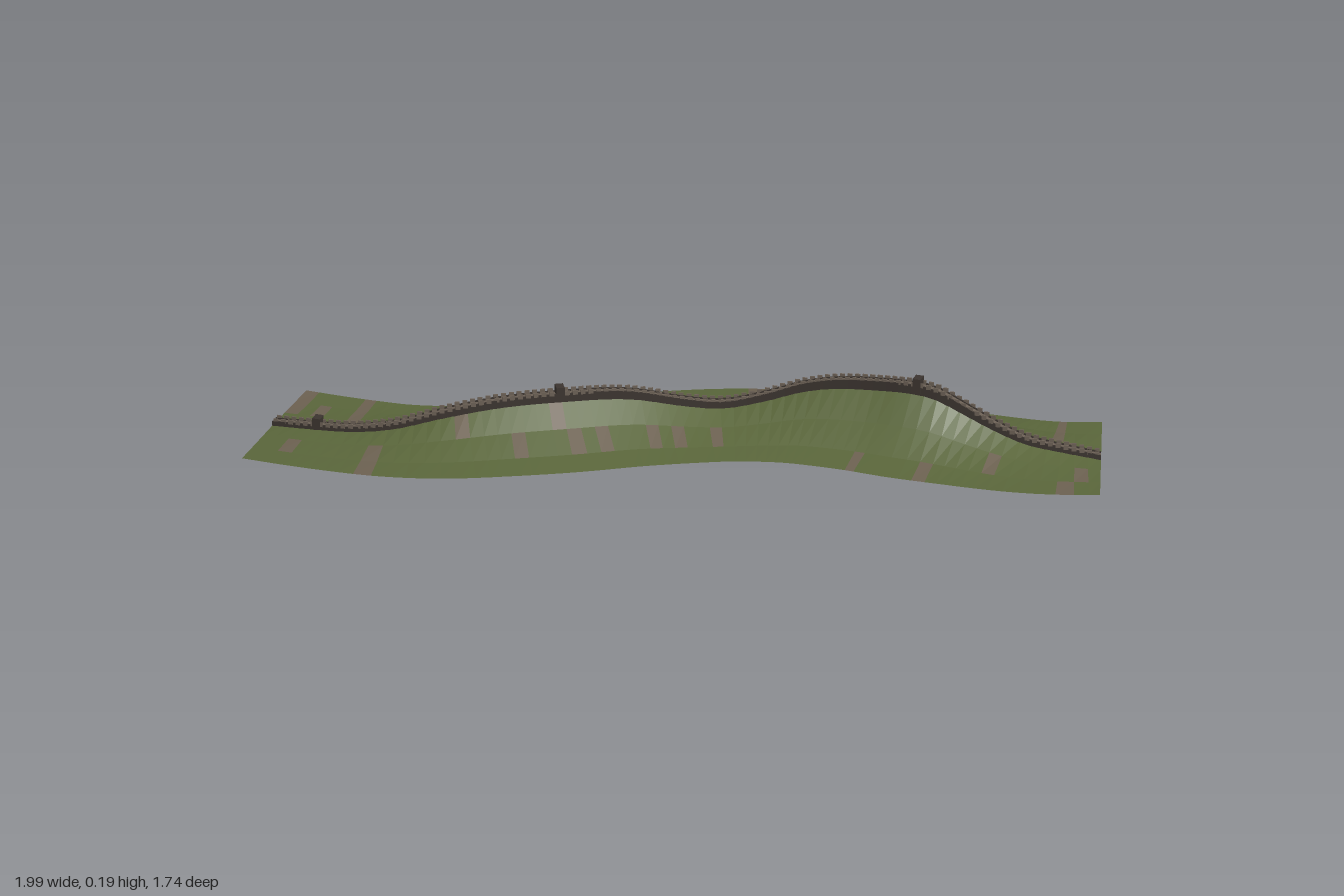
import * as THREE from 'three';
import { mergeGeometries } from 'three/addons/utils/BufferGeometryUtils.js';

const SEGMENTS = 64, HALF_WIDTH = 0.236, WALL = 0.014;

// Crest of the ridge: x, ground height, z
const crest = new THREE.CatmullRomCurve3([
  [-0.903, 0.002, 0.65], [-0.8, 0.01, 0.607], [-0.7, 0.019, 0.56], [-0.6, 0.042, 0.505],
  [-0.5, 0.082, 0.425], [-0.4, 0.109, 0.31], [-0.3, 0.116, 0.18], [-0.2, 0.106, 0.03],
  [-0.1, 0.07, -0.1], [-0.04, 0.06, -0.17], [0.04, 0.083, -0.245], [0.12, 0.118, -0.305],
  [0.2, 0.14, -0.35], [0.3, 0.152, -0.398], [0.4, 0.16, -0.437], [0.46, 0.152, -0.465],
  [0.52, 0.122, -0.495], [0.6, 0.08, -0.535], [0.68, 0.044, -0.58], [0.75, 0.027, -0.63],
  [0.83, 0.002, -0.705],
].map((p) => new THREE.Vector3(...p)));
crest.arcLengthDivisions = 800;

// Bare patches on the slopes: x, z
const PATCHES = [
  [-0.94, 0.47], [-0.85, 0.54], [-0.92, 0.56], [-0.77, 0.46], [-0.8, 0.4], [-0.72, 0.54], [-0.8, 0.7],
  [-0.57, 0.2], [-0.5, 0.32], [-0.44, 0.29], [-0.35, 0.16], [-0.57, 0.62], [-0.55, 0.68], [-0.4, 0.43],
  [-0.3, 0.35], [-0.25, 0.24], [-0.2, 0.22], [-0.16, 0.16], [-0.07, 0.06], [-0.02, 0.02], [0.06, -0.05],
  [-0.22, -0.1], [-0.1, -0.37], [-0.05, -0.29], [0.02, -0.33], [0.1, -0.36], [0.17, -0.44], [0.25, -0.5],
  [0.37, -0.5], [0.3, -0.63], [0.42, -0.64], [0.62, -0.78], [0.66, -0.73], [0.73, -0.67], [0.86, -0.58],
  [0.89, -0.53], [0.68, -0.41], [0.38, -0.25], [0.57, -0.29],
];

// Point on the crest with its level sideways direction
function frame(t) {
  const p = crest.getPointAt(t), d = crest.getTangentAt(t);
  const side = new THREE.Vector3(-d.z, 0, d.x).normalize();
  return { p, side, angle: Math.atan2(-d.z, d.x) };
}

function fromTriangles(points) {
  const g = new THREE.BufferGeometry().setFromPoints(points);
  g.computeVertexNormals();
  return g;
}

// Points of a cross-section [sideways, height] at every step along the crest
function rings(profile) {
  return Array.from({ length: SEGMENTS + 1 }, (_, i) => {
    const { p, side } = frame(i / SEGMENTS);
    return profile(p.y).map(([u, y]) => p.clone().addScaledVector(side, u).setY(Math.max(0, y)));
  });
}

const quad = (a, b, c, d) => [a, b, c, a, c, d];

// Rectangular bar following the crest, with both ends closed
function bar(u0, u1, v0, v1) {
  const r = rings((h) => [[u0, h + v0], [u1, h + v0], [u1, h + v1], [u0, h + v1]]);
  const out = [...quad(...r[0]), ...quad(...[...r[SEGMENTS]].reverse())];
  for (let i = 0; i < SEGMENTS; i++) {
    for (let k = 0; k < 4; k++) {
      const n = (k + 1) % 4;
      out.push(...quad(r[i][k], r[i + 1][k], r[i + 1][n], r[i][n]));
    }
  }
  return fromTriangles(out);
}

// Upright box turned along the crest
function block(t, u, v, length, height, width) {
  const { p, side, angle } = frame(t);
  const c = p.clone().addScaledVector(side, u);
  return new THREE.BoxGeometry(length, height, width)
    .rotateY(angle).translate(c.x, p.y + v + height / 2, c.z);
}

export function createModel() {
  const group = new THREE.Group();
  const material = (color, side = THREE.FrontSide) =>
    new THREE.MeshStandardMaterial({ color, side, flatShading: true });
  const add = (name, geometry, mat) => {
    const mesh = new THREE.Mesh(geometry, mat);
    mesh.name = name;
    group.add(mesh);
  };
  const stone = material(0x6a5f54), darkStone = material(0x3b342f);

  // Hillside: three strips each side, steepest beside the crest
  const steps = [1, 2 / 3, 1 / 3, 0, -1 / 3, -2 / 3, -1];
  const land = rings((h) => steps.map((s) => [s * HALF_WIDTH, h * (1 - Math.abs(s)) ** 1.8]));
  const cells = [];
  for (let i = 0; i < SEGMENTS; i++) {
    for (let k = 0; k < steps.length - 1; k++) {
      const corners = [land[i][k], land[i + 1][k], land[i + 1][k + 1], land[i][k + 1]];
      const centre = corners.reduce((s, c) => s.add(c), new THREE.Vector3()).divideScalar(4);
      cells.push({ corners, centre, bare: false });
    }
  }
  for (const [x, z] of PATCHES) {
    const distance = (c) => Math.hypot(c.centre.x - x, c.centre.z - z);
    cells.reduce((a, b) => (distance(b) < distance(a) ? b : a)).bare = true;
  }
  const landPart = (bare) =>
    fromTriangles(cells.filter((c) => c.bare === bare).flatMap((c) => quad(...c.corners)));
  add('grassHillside', landPart(false), material(0x59653a, THREE.DoubleSide));
  add('bareEarthPatches', landPart(true), material(0x6b6050, THREE.DoubleSide));

  // Wall: walkway between two darker parapets
  add('wallWalkway', bar(-WALL + 0.004, WALL - 0.004, -0.01, 0.009), stone);
  for (const s of [-1, 1]) {
    const inner = s * (WALL - 0.004), outer = s * WALL;
    add(s > 0 ? 'frontParapet' : 'backParapet',
      bar(Math.min(inner, outer), Math.max(inner, outer), -0.014, 0.013), darkStone);
  }

  // Battlements along both parapets
  const merlons = [], count = 110;
  for (let i = 0; i < count; i++) {
    for (const s of [-1, 1]) {
      merlons.push(block((i + 0.5) / count, s * (WALL - 0.002), 0.008, 0.013, 0.012, 0.004));
    }
  }
  add('battlements', mergeGeometries(merlons), stone);

  // Watchtowers at three places, found by their x position
  for (const x of [-0.79, -0.305, 0.41]) {
    let t = 0;
    while (crest.getPointAt(t).x < x) t += 0.002;
    add('watchtower', block(t, 0, -0.01, 0.022, 0.041, 0.03), darkStone);
  }
  return group;
}
